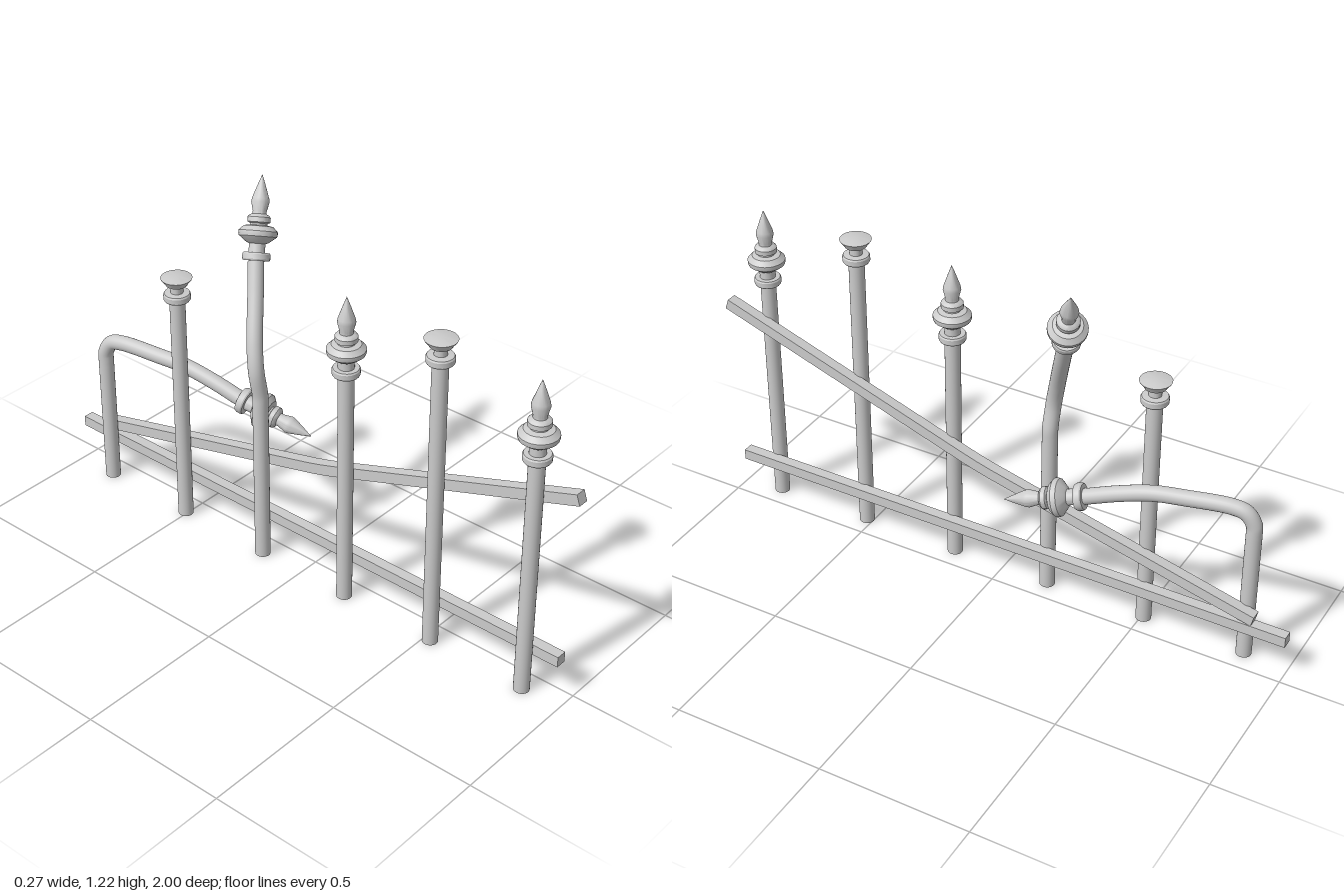
import * as THREE from 'three';
import { toCreasedNormals } from 'three/addons/utils/BufferGeometryUtils.js';

const material = new THREE.MeshStandardMaterial({ color: 0xcccccc });
const UP = new THREE.Vector3(0, 1, 0);
const POST_X = -0.072, POST_R = 0.025;

function add(parent, name, geometry) {
  const mesh = new THREE.Mesh(geometry, material);
  mesh.name = name;
  parent.add(mesh);
  return mesh;
}

function lathe(profile) {
  const points = profile.map(([r, y]) => new THREE.Vector2(r, y));
  return toCreasedNormals(new THREE.LatheGeometry(points, 24), 0.5);
}

// Finial profiles as [radius, height], starting at the lower ring
const ring = [[0, 0], [0.04, 0], [0.043, 0.005], [0.043, 0.02], [0.04, 0.025]];
const spearGeometry = lathe([...ring,
  [0.025, 0.025], [0.025, 0.052], [0.035, 0.056], [0.058, 0.074], [0.06, 0.08], [0.06, 0.09],
  [0.045, 0.105], [0.027, 0.108], [0.027, 0.113], [0.035, 0.117], [0.035, 0.132], [0.03, 0.138],
  [0.021, 0.142], [0.021, 0.15], [0.028, 0.178], [0.026, 0.19], [0.012, 0.23], [0, 0.262]]);
const capGeometry = lathe([...ring,
  [0.02, 0.027], [0.02, 0.05], [0.034, 0.054], [0.037, 0.06], [0.048, 0.074],
  [0.05, 0.078], [0.03, 0.083], [0, 0.085]]);

function straightPost(parent, name, z, height, finial) {
  const post = new THREE.Group();
  post.name = name;
  post.position.set(POST_X, 0, z);
  add(post, 'shaft', new THREE.CylinderGeometry(POST_R, POST_R, height, 24).translate(0, height / 2, 0));
  add(post, 'finial', finial).position.y = height;
  parent.add(post);
}

// A post swept along bent points, its spear following the given direction
function bentPost(parent, name, points, direction) {
  const post = new THREE.Group();
  post.name = name;
  const path = new THREE.CurvePath();
  const bends = points.map((p) => new THREE.Vector3(...p));
  path.add(new THREE.LineCurve3(bends[0], bends[1]));
  // The upper part is a smooth curve that leaves the straight shaft vertically
  const lead = bends[1].clone().addScaledVector(UP, 0.03);
  path.add(new THREE.CatmullRomCurve3([bends[1], lead, ...bends.slice(2)], false, 'centripetal'));
  add(post, 'shaft', new THREE.TubeGeometry(path, 90, POST_R, 24));
  add(post, 'shaftFoot', new THREE.CircleGeometry(POST_R, 24).rotateX(Math.PI / 2)).position.copy(bends[0]);
  const spear = add(post, 'finial', spearGeometry);
  spear.position.copy(bends[bends.length - 1]);
  spear.quaternion.setFromUnitVectors(UP, new THREE.Vector3(...direction).normalize());
  parent.add(post);
}

// Rail of square section following [z, y] points in the fence plane
function railGeometry(points, size) {
  const line = points.map(([z, y]) => new THREE.Vector2(-z, y));
  const offset = (side) => line.map((p, i) => {
    const a = line[Math.max(i - 1, 0)], b = line[Math.min(i + 1, line.length - 1)];
    const t = b.clone().sub(a).normalize();
    return new THREE.Vector2(p.x - t.y * side, p.y + t.x * side);
  });
  const shape = new THREE.Shape([...offset(-size / 2), ...offset(size / 2).reverse()]);
  return new THREE.ExtrudeGeometry(shape, { depth: size, bevelEnabled: false })
    .translate(0, 0, -size / 2).rotateY(Math.PI / 2);
}

export function createModel() {
  const fence = new THREE.Group();
  fence.name = 'brokenFence';

  // Upright posts
  straightPost(fence, 'spearPostFront', 0.865, 0.815, spearGeometry);
  straightPost(fence, 'capPostTall', 0.522, 0.993, capGeometry);
  straightPost(fence, 'spearPostMiddle', 0.18, 0.815, spearGeometry);
  straightPost(fence, 'capPostShort', -0.507, 0.812, capGeometry);

  // Post leaning outward
  bentPost(fence, 'leaningPost', [
    [POST_X, 0, -0.163], [POST_X, 0.57, -0.163], [-0.083, 0.69, -0.168],
    [-0.068, 0.77, -0.186], [-0.005, 0.92, -0.236], [0.027, 0.995, -0.262],
  ], [0.1, 0.21, -0.062]);

  // Post folded over toward the front
  bentPost(fence, 'foldedPost', [
    [POST_X, 0, -0.85], [POST_X, 0.43, -0.85], [-0.072, 0.49, -0.848], [-0.067, 0.529, -0.824],
    [-0.06, 0.541, -0.78], [-0.035, 0.537, -0.64], [-0.016, 0.53, -0.54],
    [0.004, 0.505, -0.44], [0.025, 0.469, -0.335],
  ], [0.052, -0.06, 0.23]);

  // Rails
  add(fence, 'lowerRail', railGeometry([[0.97, 0.142], [-1, 0.142]], 0.036)).position.x = -0.033;
  add(fence, 'bentUpperRail', railGeometry(
    [[0.994, 0.727], [0.12, 0.431], [0.07, 0.415], [0.02, 0.401], [-0.89, 0.178]], 0.036)).position.x = -0.033;

  return fence;
}
